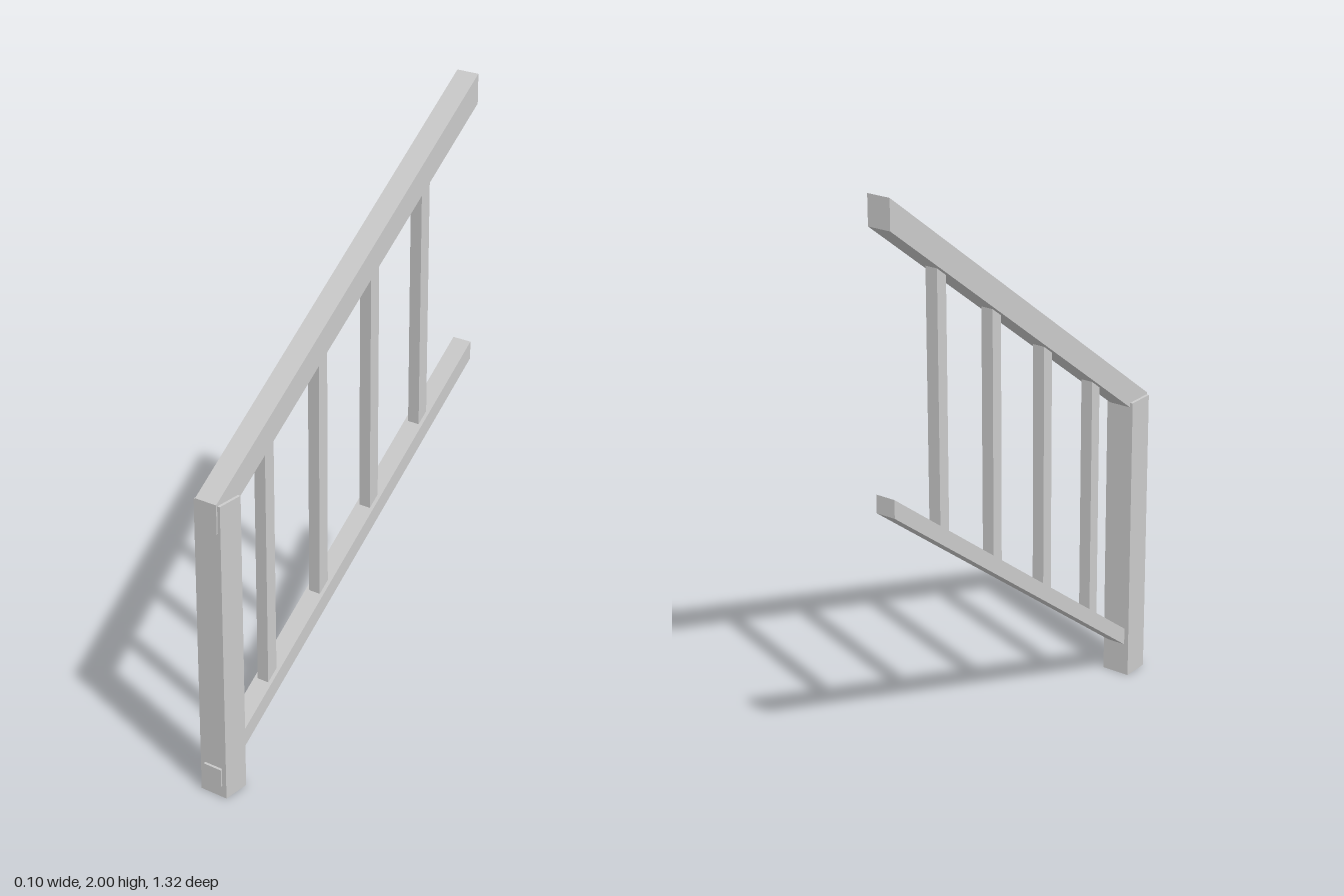
import * as THREE from 'three';

const HALF = 0.66;   // half the run of the rails
const SLOPE = 0.75;  // rise per unit towards the back

export function createModel() {
  const model = new THREE.Group();
  model.name = 'stairRailing';
  const paint = new THREE.MeshStandardMaterial({ color: 0xcccccc });
  paint.name = 'light grey paint';

  // Box with plumb ends whose top and bottom follow the stair slope.
  function slopedBar(name, width, height, depth, y, z) {
    let geo = new THREE.BoxGeometry(width, height, depth);
    const pos = geo.attributes.position;
    for (let i = 0; i < pos.count; i++) {
      pos.setY(i, pos.getY(i) - pos.getZ(i) * SLOPE);
    }
    geo = geo.toNonIndexed();
    geo.computeVertexNormals();
    const mesh = new THREE.Mesh(geo, paint);
    mesh.name = name;
    mesh.position.set(0, y, z);
    model.add(mesh);
  }

  // Newel post
  const post = new THREE.Mesh(new THREE.BoxGeometry(0.1, 1.005, 0.096), paint);
  post.name = 'newelPost';
  post.position.set(0, 0.5025, 0.607);
  model.add(post);

  // Rails, placed by their mid height
  slopedBar('handrail', 0.08, 0.097, HALF * 2, 1.4565, 0);
  slopedBar('bottomRail', 0.068, 0.06, HALF * 2, 0.563, 0);

  // Balusters span from the bottom rail's top to the handrail's underside
  const low = 0.593, high = 1.408;
  for (let i = 0; i < 4; i++) {
    const z = 0.386 - i * 0.265;
    slopedBar('baluster' + (i + 1), 0.042, high - low, 0.042, (low + high) / 2 - z * SLOPE, z);
  }
  return model;
}
